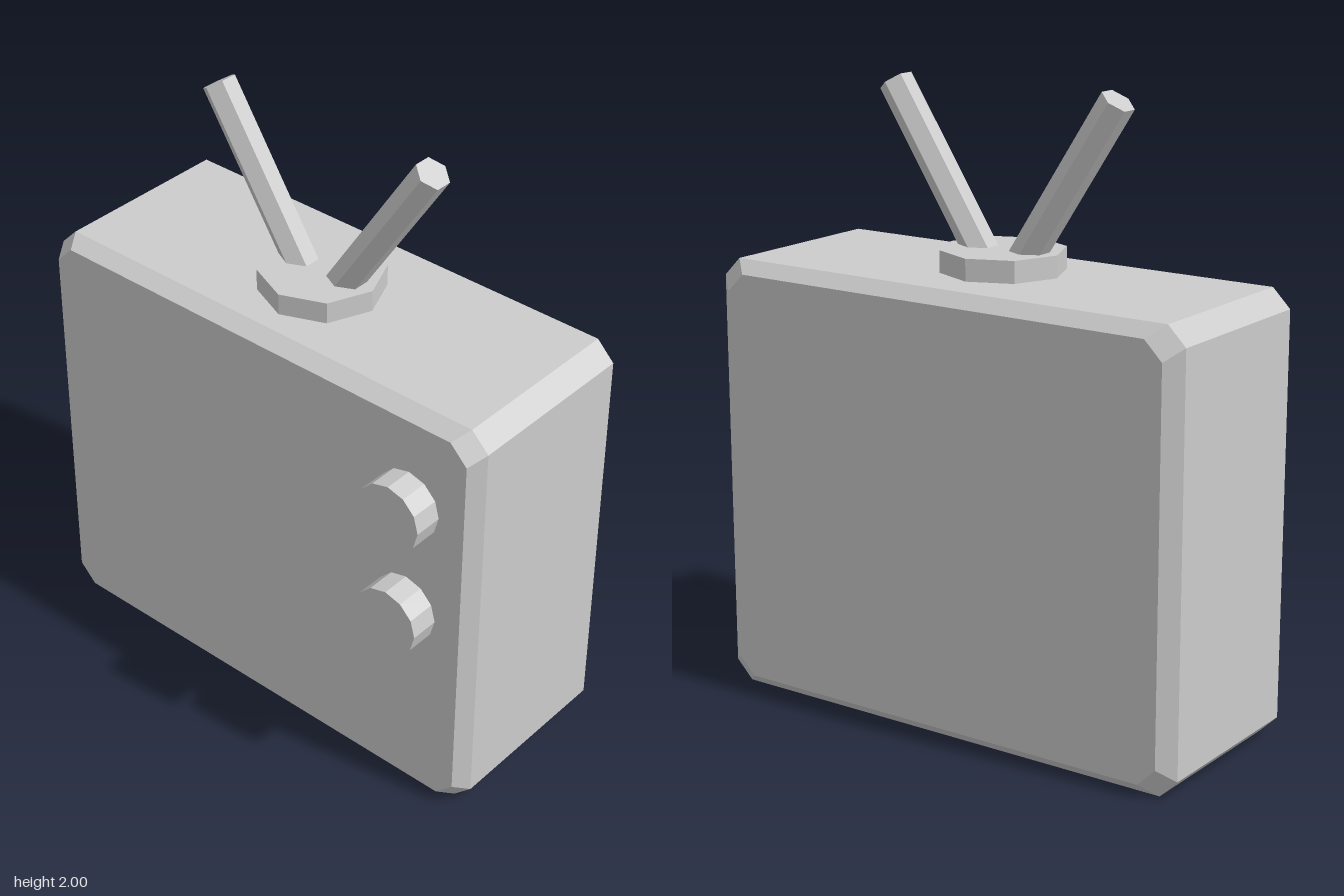
import * as THREE from 'three';

const material = new THREE.MeshStandardMaterial({ color: 0xcccccc, flatShading: true });

function part(name, geometry, x, y, z) {
  const mesh = new THREE.Mesh(geometry, material);
  mesh.name = name;
  mesh.position.set(x, y, z);
  return mesh;
}

// Rectangle with cut corners at depth z, counter-clockwise from the front
function ring(hx, hy, cut, z) {
  return [
    [hx, -hy + cut], [hx, hy - cut], [hx - cut, hy], [-hx + cut, hy],
    [-hx, hy - cut], [-hx, -hy + cut], [-hx + cut, -hy], [hx - cut, -hy],
  ].map(([x, y]) => [x, y, z]);
}

// Bevelled box: rings from back to front, joined by quads and capped
function cabinetGeometry() {
  const rings = [
    ring(0.80, 0.67, 0.06, -0.395),
    ring(0.85, 0.71, 0.06, -0.35),
    ring(0.85, 0.71, 0.06, 0.245),
    ring(0.818, 0.68, 0.06, 0.3),
  ];
  const n = 8;
  const last = (rings.length - 1) * n;
  const index = [];
  for (let r = 0; r < rings.length - 1; r++) {
    for (let i = 0; i < n; i++) {
      const a = r * n + i;
      const b = r * n + (i + 1) % n;
      index.push(a, b, b + n, a, b + n, a + n);
    }
  }
  for (let i = 1; i < n - 1; i++) {
    index.push(0, i + 1, i);
    index.push(last, last + i, last + i + 1);
  }
  const geometry = new THREE.BufferGeometry();
  geometry.setAttribute('position', new THREE.Float32BufferAttribute(rings.flat(2), 3));
  geometry.setIndex(index);
  const flat = geometry.toNonIndexed();
  flat.computeVertexNormals();
  return flat;
}

export function createModel() {
  const model = new THREE.Group();
  model.name = 'television';

  model.add(part('cabinet', cabinetGeometry(), 0, 0.71, 0));

  // Two dials on the front
  for (const [name, y] of [['upperDial', 1.102], ['lowerDial', 0.712]]) {
    const dial = part(name, new THREE.CylinderGeometry(0.113, 0.113, 0.115, 12), 0.614, y, 0.3375);
    dial.rotation.x = Math.PI / 2;
    model.add(dial);
  }

  // Octagonal antenna base
  model.add(part('antennaBase', new THREE.CylinderGeometry(0.198, 0.198, 0.08, 8), 0, 1.45, -0.026));

  // Pair of six-sided antenna rods leaning outwards
  for (const side of [1, -1]) {
    const bottom = new THREE.Vector3(side * 0.07, 1.45, -0.026);
    const top = new THREE.Vector3(side * 0.41, 1.974, -0.026);
    const axis = top.clone().sub(bottom);
    const centre = bottom.clone().add(top).multiplyScalar(0.5);
    const rod = part(side > 0 ? 'leftAntenna' : 'rightAntenna',
      new THREE.CylinderGeometry(0.055, 0.055, axis.length(), 6), centre.x, centre.y, centre.z);
    rod.quaternion.setFromUnitVectors(new THREE.Vector3(0, 1, 0), axis.normalize());
    model.add(rod);
  }

  return model;
}
